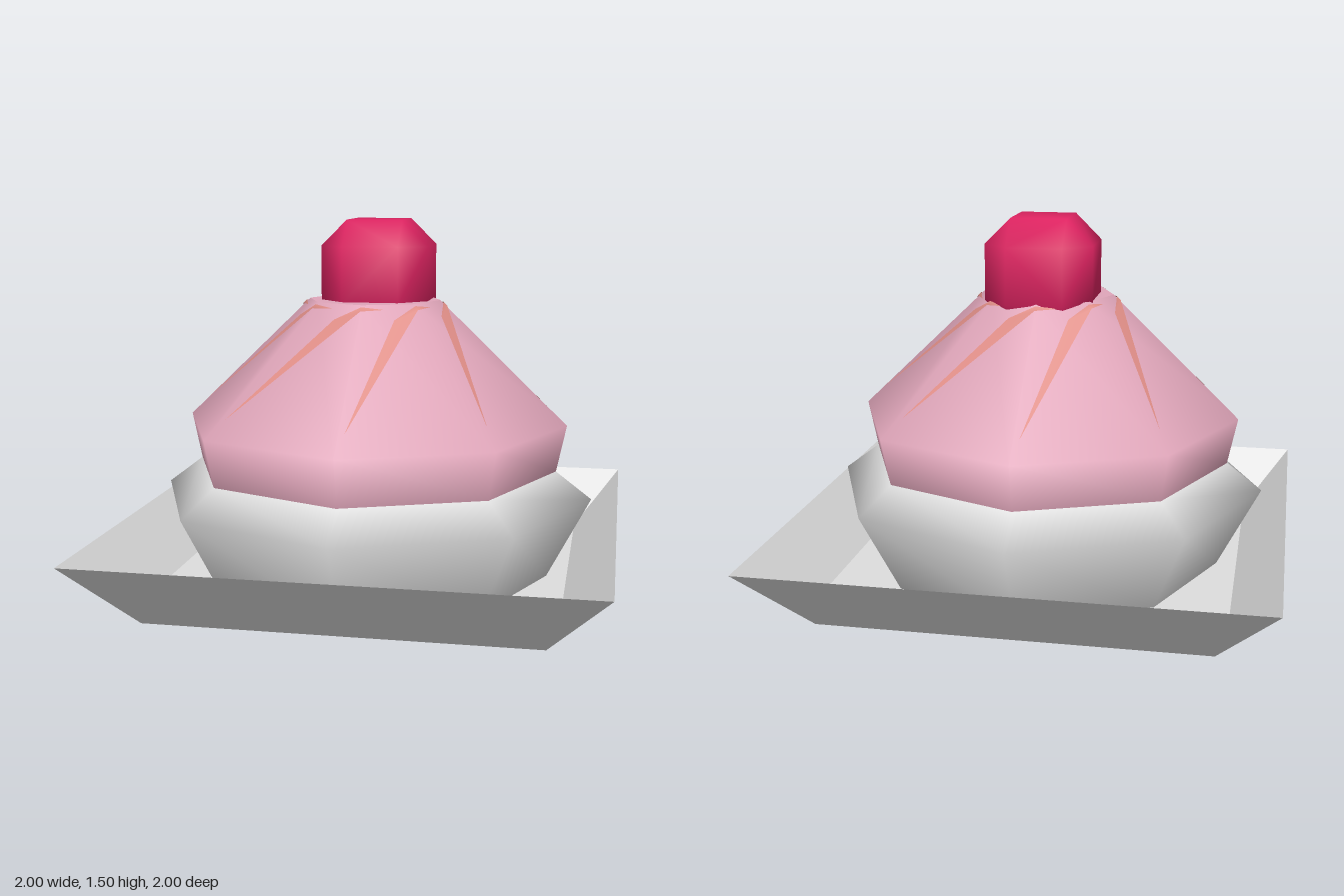
import * as THREE from 'three';
import { mergeVertices } from 'three/addons/utils/BufferGeometryUtils.js';
import { ConvexGeometry } from 'three/addons/geometries/ConvexGeometry.js';

const CAKE_Z = 0.033;
const SIDES = 8;

function material(name, color, side = THREE.FrontSide) {
  const m = new THREE.MeshStandardMaterial({ color, side });
  m.name = name;
  return m;
}

export function createModel() {
  const white = material('white', 0xdedede, THREE.DoubleSide);
  const pink = material('pink icing', 0xe0a6ba);
  const salmon = material('salmon stripe', 0xde8d86, THREE.DoubleSide);
  const red = material('cherry red', 0xdf2462);

  const model = new THREE.Group();
  model.name = 'cupcake';
  function add(parent, name, geometry, mat, x = 0, y = 0, z = 0) {
    const mesh = new THREE.Mesh(geometry, mat);
    mesh.name = name;
    mesh.position.set(x, y, z);
    parent.add(mesh);
    return mesh;
  }

  // Square tray with sloping walls and a slightly raised floor
  const walls = new THREE.CylinderGeometry(Math.SQRT2, 0.765 * Math.SQRT2, 0.275, 4, 1, true)
    .rotateY(Math.PI / 4).toNonIndexed();
  walls.computeVertexNormals();
  add(model, 'trayWalls', walls, white, 0, 0.1375, 0);
  add(model, 'trayFloor', new THREE.PlaneGeometry(1.606, 1.606).rotateX(-Math.PI / 2), white, 0, 0.047, 0);
  add(model, 'trayUnderside', new THREE.PlaneGeometry(1.53, 1.53).rotateX(Math.PI / 2), white);

  // Eight-sided cake: profiles run from bottom to top
  const cake = new THREE.Group();
  cake.name = 'cake';
  cake.position.z = CAKE_Z;
  model.add(cake);
  const lathe = (pts) => new THREE.LatheGeometry(pts.map(([r, y]) => new THREE.Vector2(r, y)), SIDES);
  add(cake, 'cakeBase', lathe([[0.72, 0.047], [0.895, 0.38], [0.75, 0.49]]), white);
  add(cake, 'icing', lathe([[0.75, 0.49], [0.79, 0.68], [0.27, 1.18]]), pink);
  add(cake, 'icingTop', lathe([[0.27, 1.18], [0, 1.18]]), pink);

  // Height of the faceted icing slope above a point, lifted slightly
  function drape(x, z) {
    let apothem = 0;
    for (let i = 0; i < SIDES; i++) {
      const a = (i + 0.5) * Math.PI / 4;
      apothem = Math.max(apothem, x * Math.sin(a) + z * Math.cos(a));
    }
    const r = apothem / Math.cos(Math.PI / 8);
    return Math.min(1.18, 1.18 - (r - 0.27) * 0.5 / 0.52) + 0.006;
  }

  // Swirled stripes, folded over the ridge between two facets
  const outline = [[0.022, 0.71], [0.13, 0.28], [0.2, 0.2], [0.245, 0.12], [0.211, 0.211]];
  const stripe = new THREE.BufferGeometry();
  stripe.setAttribute('position', new THREE.Float32BufferAttribute(
    outline.flatMap(([x, z]) => [x, drape(x, z), z]), 3));
  stripe.setIndex([0, 1, 4, 1, 2, 4, 2, 3, 4].reverse());
  // Make the faces point upwards
  const idx = stripe.index.array;
  const p = outline;
  for (let i = 0; i < idx.length; i += 3) {
    const [a, b, c] = [p[idx[i]], p[idx[i + 1]], p[idx[i + 2]]];
    const up = (b[1] - a[1]) * (c[0] - a[0]) - (b[0] - a[0]) * (c[1] - a[1]);
    if (up < 0) [idx[i + 1], idx[i + 2]] = [idx[i + 2], idx[i + 1]];
  }
  stripe.computeVertexNormals();
  for (let i = 0; i < SIDES; i++) {
    add(cake, 'stripe' + (i + 1), stripe, salmon).rotation.y = i * Math.PI / 4;
  }

  // Cherry: a cube with bevelled edges and corners, shaded smooth
  const points = [];
  for (const sx of [-1, 1]) for (const sy of [-1, 1]) for (const sz of [-1, 1]) {
    for (let axis = 0; axis < 3; axis++) {
      const d = [0.113, 0.113, 0.113];
      d[axis] = 0.218;
      points.push(new THREE.Vector3(sx * d[0], sy * d[1], sz * d[2]));
    }
  }
  let cherry = new ConvexGeometry(points);
  cherry.deleteAttribute('normal');
  cherry = mergeVertices(cherry);
  cherry.computeVertexNormals();
  add(model, 'cherry', cherry, red, 0.01, 1.284, -0.02);

  return model;
}
